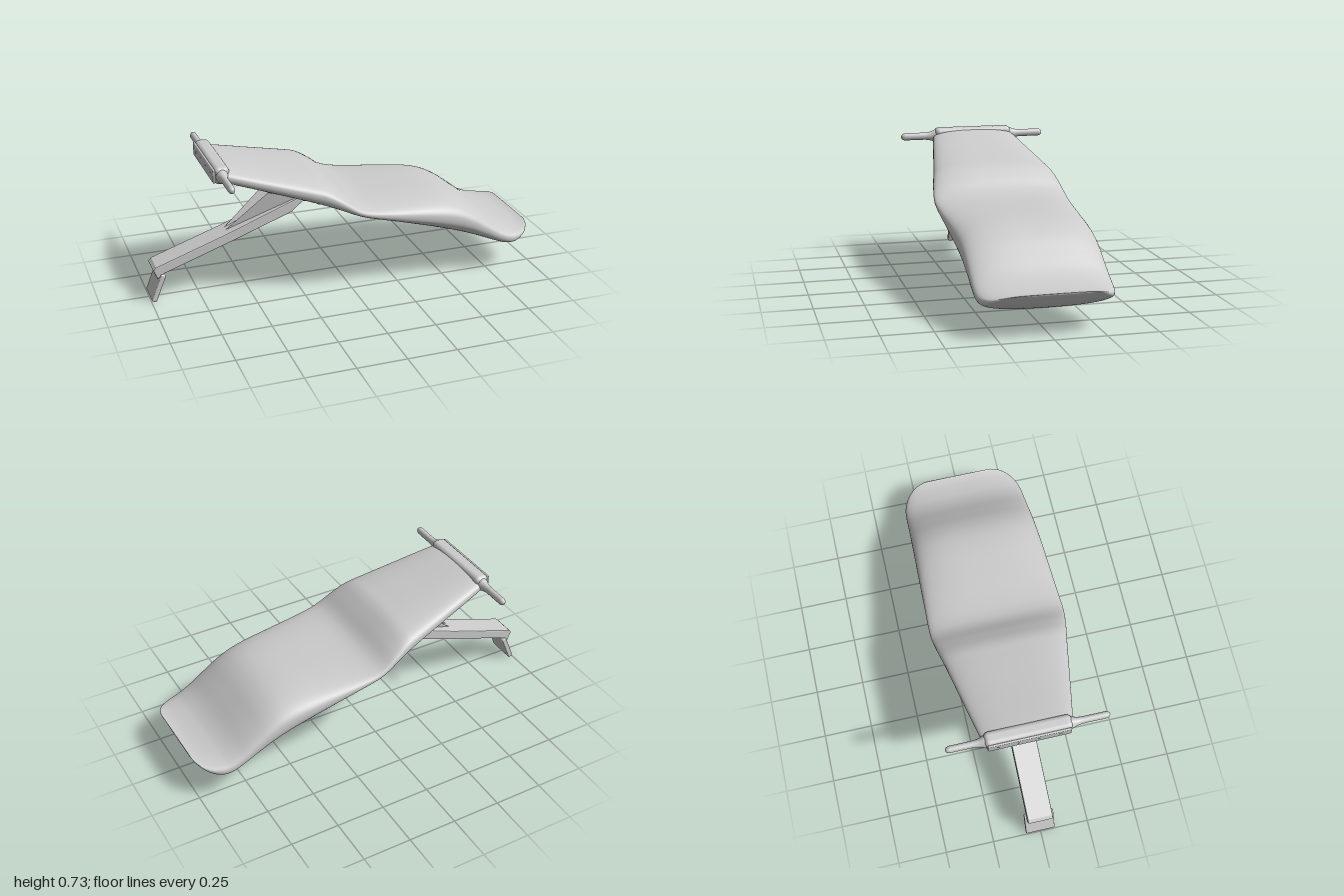
import * as THREE from 'three';
import { RoundedBoxGeometry } from 'three/addons/geometries/RoundedBoxGeometry.js';

const grey = new THREE.MeshStandardMaterial({ color: 0xcccccc, side: THREE.DoubleSide });
grey.name = 'light grey';

function add(group, name, geometry, x = 0, y = 0, z = 0, tilt = 0) {
  const mesh = new THREE.Mesh(geometry, grey);
  mesh.name = name;
  mesh.position.set(x, y, z);
  mesh.rotation.z = tilt;
  group.add(mesh);
  return mesh;
}

// Stations along the pad: x, top, bottom, half width
const stations = [
  [-0.67, 0.73, 0.645, 0.212], [-0.6, 0.718, 0.622, 0.232], [-0.4, 0.67, 0.555, 0.272],
  [-0.22, 0.628, 0.493, 0.307], [-0.14, 0.605, 0.464, 0.324], [-0.07, 0.558, 0.44, 0.338],
  [0, 0.502, 0.416, 0.348], [0.06, 0.478, 0.395, 0.349], [0.15, 0.468, 0.364, 0.347],
  [0.3, 0.461, 0.312, 0.343], [0.45, 0.451, 0.26, 0.339], [0.55, 0.431, 0.225, 0.336],
  [0.63, 0.392, 0.197, 0.334], [0.71, 0.332, 0.168, 0.332], [0.79, 0.27, 0.138, 0.331],
  [0.85, 0.237, 0.121, 0.328], [0.9, 0.222, 0.125, 0.316], [0.95, 0.214, 0.154, 0.286],
  [0.985, 0.214, 0.19, 0.24], [1, 0.216, 0.21, 0.19],
];

// Wavy pad lofted from squarish oval sections
function padGeometry() {
  const heights = new THREE.CatmullRomCurve3(
    stations.map(([x, t, b]) => new THREE.Vector3(x, t, b)), false, 'catmullrom', 0.5);
  const widths = new THREE.CatmullRomCurve3(
    stations.map(([x, , , w]) => new THREE.Vector3(x, w, 0)), false, 'catmullrom', 0.5);
  const rings = 120, sides = 64, positions = [], index = [];
  const soft = (v, n) => Math.sign(v) * Math.abs(v) ** (2 / n);
  for (let i = 0; i <= rings; i++) {
    const h = heights.getPoint(i / rings), w = widths.getPoint(i / rings).y;
    for (let j = 0; j < sides; j++) {
      const a = (j / sides) * Math.PI * 2;
      const y = (h.y + h.z) / 2 + ((h.y - h.z) / 2) * soft(Math.sin(a), 2.6);
      positions.push(h.x, y, w * soft(Math.cos(a), 2.6));
    }
  }
  for (let i = 0; i < rings; i++) {
    for (let j = 0; j < sides; j++) {
      const a = i * sides + j, b = i * sides + ((j + 1) % sides);
      index.push(a, a + sides, b, b, a + sides, b + sides);
    }
  }
  // Close both ends
  const last = rings * sides;
  for (let j = 1; j < sides - 1; j++) {
    index.push(0, j, j + 1, last, last + j + 1, last + j);
  }
  const g = new THREE.BufferGeometry();
  g.setAttribute('position', new THREE.Float32BufferAttribute(positions, 3));
  g.setIndex(index);
  g.computeVertexNormals();
  return g;
}

// Side profile extruded across z, centred
function sideExtrude(points, width, bevel) {
  const shape = new THREE.Shape(points.map(([x, y]) => new THREE.Vector2(x, y)));
  const g = new THREE.ExtrudeGeometry(shape, {
    depth: width - 2 * bevel, bevelEnabled: true, bevelSize: bevel, bevelThickness: bevel,
    bevelOffset: -bevel, bevelSegments: 2,
  });
  return g.translate(0, 0, -width / 2 + bevel);
}

export function createModel() {
  const model = new THREE.Group();
  model.name = 'paddedBoard';
  add(model, 'pad', padGeometry());

  // End cap with its recessed-looking face plate and screws
  add(model, 'endCap', new RoundedBoxGeometry(0.075, 0.088, 0.43, 5, 0.025), -0.647, 0.69, 0);
  add(model, 'endPlate', new RoundedBoxGeometry(0.012, 0.07, 0.41, 3, 0.005), -0.686, 0.69, 0);
  for (const z of [-0.15, -0.05, 0.05, 0.15]) {
    const screw = new THREE.CylinderGeometry(0.009, 0.009, 0.006, 16);
    add(model, 'screw', screw, -0.69, 0.69, z, Math.PI / 2);
  }

  // Side handles with flared roots
  const handleProfile = [[0.036, 0.19], [0.034, 0.215], [0.026, 0.235], [0.021, 0.26], [0.02, 0.3],
    [0.02, 0.375], [0.018, 0.39], [0.012, 0.4], [0, 0.405]];
  const curve = new THREE.SplineCurve(handleProfile.map(([r, l]) => new THREE.Vector2(r, l)));
  const handleGeometry = new THREE.LatheGeometry(
    curve.getPoints(40).map((p) => p.set(Math.max(p.x, 0), p.y)), 24);
  for (const side of [-1, 1]) {
    const handle = add(model, side > 0 ? 'frontHandle' : 'backHandle', handleGeometry, -0.648, 0.689, 0);
    handle.rotation.x = (side * Math.PI) / 2;
    handle.scale.x = 0.85;
  }

  // Mounting plate under the pad, with bolts
  const slope = Math.atan2(-0.112, 0.32);
  add(model, 'mountPlate', new RoundedBoxGeometry(0.33, 0.024, 0.11, 3, 0.008), -0.225, 0.462, 0, slope);
  for (const along of [-0.13, 0.13]) {
    for (const z of [-0.035, 0.035]) {
      add(model, 'bolt', new THREE.CylinderGeometry(0.012, 0.012, 0.012, 16),
        -0.225 + along * Math.cos(slope) - 0.005, 0.462 + along * Math.sin(slope) - 0.014, z, slope);
    }
  }

  // Sloping support leg
  add(model, 'leg', sideExtrude([[-0.962, 0.122], [-0.925, 0.148], [-0.58, 0.268], [-0.26, 0.385],
    [-0.2, 0.435], [-0.14, 0.435], [-0.22, 0.46], [-0.6, 0.315], [-0.967, 0.188], [-0.982, 0.172]], 0.13, 0.006));

  // Triangular braces converging on the leg
  for (const side of [-1, 1]) {
    const g = new THREE.BufferGeometry();
    g.setAttribute('position', new THREE.Float32BufferAttribute(
      [-0.6, 0.312, side * 0.015, -0.2, 0.44, side * 0.05, -0.375, 0.505, side * 0.05], 3));
    g.computeVertexNormals();
    add(model, 'brace', g);
  }

  // Flat foot under the leg end
  const foot = new RoundedBoxGeometry(0.026, 0.15, 0.152, 3, 0.006);
  add(model, 'foot', foot, -0.96, 0.074, 0, -Math.atan2(0.055, 0.135));
  return model;
}
